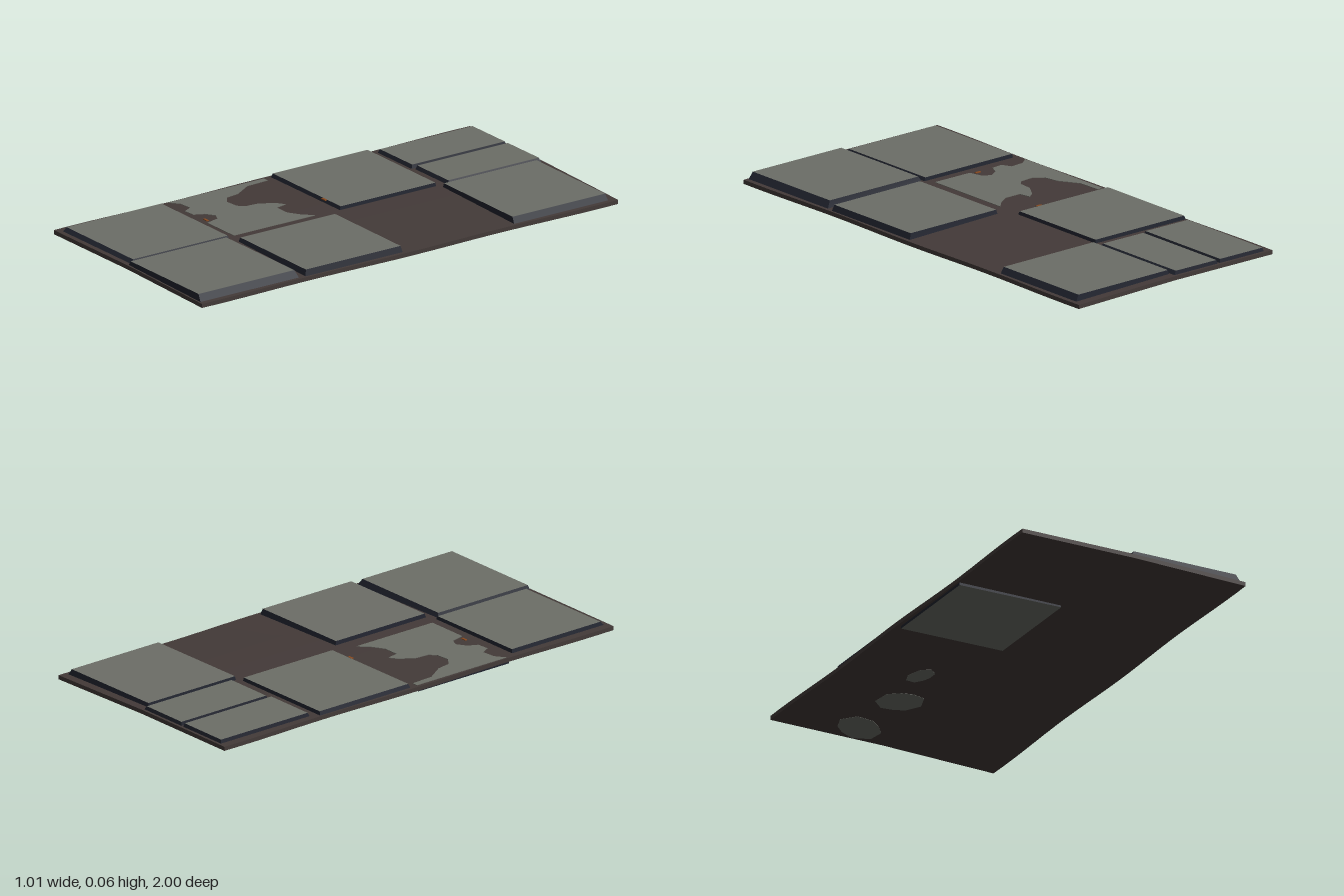
import * as THREE from 'three';

const mat = (name, color) => Object.assign(new THREE.MeshStandardMaterial({ color }), { name });

// The slab is gently arched: highest along its centre line.
const bottomY = (x) => 0.011 + 0.006 * (1 - 2 * Math.abs(x));
const THICK = 0.017;
const topY = (x) => bottomY(x) + THICK;

export function createModel() {
  const stone = mat('stone', 0x6c6e67);
  const mortar = mat('mortar', 0x433a38);
  const stoneEdge = mat('stoneEdge', 0x20232e);
  const rust = mat('rust', 0x8a4a20);
  const group = new THREE.Group();

  const add = (name, geometry, material) => {
    geometry.computeVertexNormals();
    const mesh = new THREE.Mesh(geometry, material);
    mesh.name = name;
    group.add(mesh);
  };

  // Move every vertex of a geometry by a rule.
  const bend = (geometry, rule) => {
    const p = geometry.attributes.position;
    for (let i = 0; i < p.count; i++) {
      p.setXYZ(i, ...rule(p.getX(i), p.getY(i), p.getZ(i)));
    }
    return geometry;
  };

  // Arched base slab with slightly uneven long edges
  const slab = bend(new THREE.BoxGeometry(1, 1, 2, 4, 1, 24), (x, y, z) => [
    x + (Math.abs(x) > 0.45 ? 0.004 * Math.sin(z * 7 + x * 3) : 0),
    bottomY(x) + (y > 0 ? THICK : 0),
    z,
  ]);
  add('baseSlab', slab, mortar);

  // Tiles: top rectangle, heights at left/right edge, flare of the foot on
  // the -x, +x, -z and +z sides
  const tiles = [
    ['backNarrowTileA', -0.465, -0.245, -0.985, -0.54, 0.043, 0.046, [0.005, 0.008, 0.005, 0.01]],
    ['backNarrowTileB', -0.225, -0.015, -0.985, -0.55, 0.046, 0.049, [0.005, 0.015, 0.005, 0.01]],
    ['backWideTile', 0.005, 0.47, -0.96, -0.515, 0.05, 0.053, [0.004, 0.018, 0.005, 0.003]],
    ['middleLeftTile', -0.485, -0.025, -0.495, -0.04, 0.044, 0.048, [0.008, 0.003, 0.003, 0.008]],
    ['middleRightTile', 0.035, 0.48, 0.03, 0.485, 0.05, 0.053, [0.003, 0.01, 0.006, 0.008]],
    ['frontLeftTile', -0.465, -0.015, 0.51, 0.965, 0.044, 0.048, [0.005, 0.01, 0.003, 0.02]],
    ['frontRightTile', 0.005, 0.465, 0.53, 0.99, 0.051, 0.056, [0.012, 0.022, 0.012, 0.004]],
  ];
  const tileMaterials = [stoneEdge, stoneEdge, stone, stone, stoneEdge, stoneEdge];
  for (const [name, x0, x1, z0, z1, hL, hR, [fl, fr, fb, ff]] of tiles) {
    const geometry = bend(new THREE.BoxGeometry(1, 1, 1), (x, y, z) => {
      const px = x < 0 ? x0 : x1;
      const pz = z < 0 ? z0 : z1;
      if (y > 0) return [px, x < 0 ? hL : hR, pz];
      const qx = px + (x < 0 ? -fl : fr);
      return [qx, topY(qx) - 0.006, pz + (z < 0 ? -fb : ff)];
    });
    add(name, geometry, tileMaterials);
  }

  // Outline points are [x, z]; plates follow the arch at a given height rule.
  const plate = (name, points, height, depth, material) => {
    const shape = new THREE.Shape(points.map(([x, z]) => new THREE.Vector2(x, -z)));
    const geometry = new THREE.ExtrudeGeometry(shape, { depth, bevelEnabled: false });
    geometry.rotateX(-Math.PI / 2);
    add(name, bend(geometry, (x, y, z) => [x, height(x) + y, z]), material);
  };

  // Sunken tile: worn upper face, partly covered by mortar
  plate('sunkenTileTop', [
    [-0.49, 0], [-0.465, 0], [-0.46, 0.1], [-0.41, 0.18], [-0.4, 0.24], [-0.36, 0.27],
    [-0.3, 0.265], [-0.275, 0.24], [-0.27, 0.18], [-0.23, 0.12], [-0.2, 0.1], [-0.19, 0.15],
    [-0.12, 0.15], [-0.07, 0.12], [-0.03, 0.08], [-0.03, 0.47], [-0.21, 0.47], [-0.225, 0.41],
    [-0.26, 0.395], [-0.3, 0.42], [-0.32, 0.46], [-0.37, 0.465], [-0.39, 0.425],
    [-0.45, 0.43], [-0.49, 0.46],
  ], (x) => topY(x) - 0.002, 0.004, stone);

  // Sunken tile: lower face poking out under the slab
  const under = bend(new THREE.BoxGeometry(1, 1, 1), (x, y, z) => {
    const px = x < 0 ? -0.488 : -0.03;
    return [px, y > 0 ? bottomY(px) + 0.004 : x < 0 ? 0 : 0.009, z < 0 ? 0.01 : 0.475];
  });
  add('sunkenTileUnderside', under, tileMaterials);

  // Bits of stone showing through the underside
  const patches = [
    [-0.16, -0.9, 0.1, 0.09], [-0.14, -0.61, 0.08, 0.1], [-0.19, -0.36, 0.05, 0.06],
  ];
  patches.forEach(([cx, cz, rx, rz], k) => {
    const points = Array.from({ length: 9 }, (_, i) => {
      const a = (i / 9) * Math.PI * 2;
      const r = 1 + 0.2 * Math.sin(a * 2 + k * 2);
      return [cx + rx * r * Math.cos(a), cz - rz * r * Math.sin(a)];
    });
    plate('undersidePatch', points, (x) => bottomY(x) - 0.001, 0.003, stone);
  });

  // Tiny rust flecks
  for (const [x, z, y] of [[-0.13, -0.035, 0.046], [-0.24, 0.455, topY(-0.24) + 0.001]]) {
    const fleck = new THREE.BoxGeometry(0.025, 0.004, 0.01);
    fleck.translate(x, y, z);
    add('rustFleck', fleck, rust);
  }
  return group;
}
